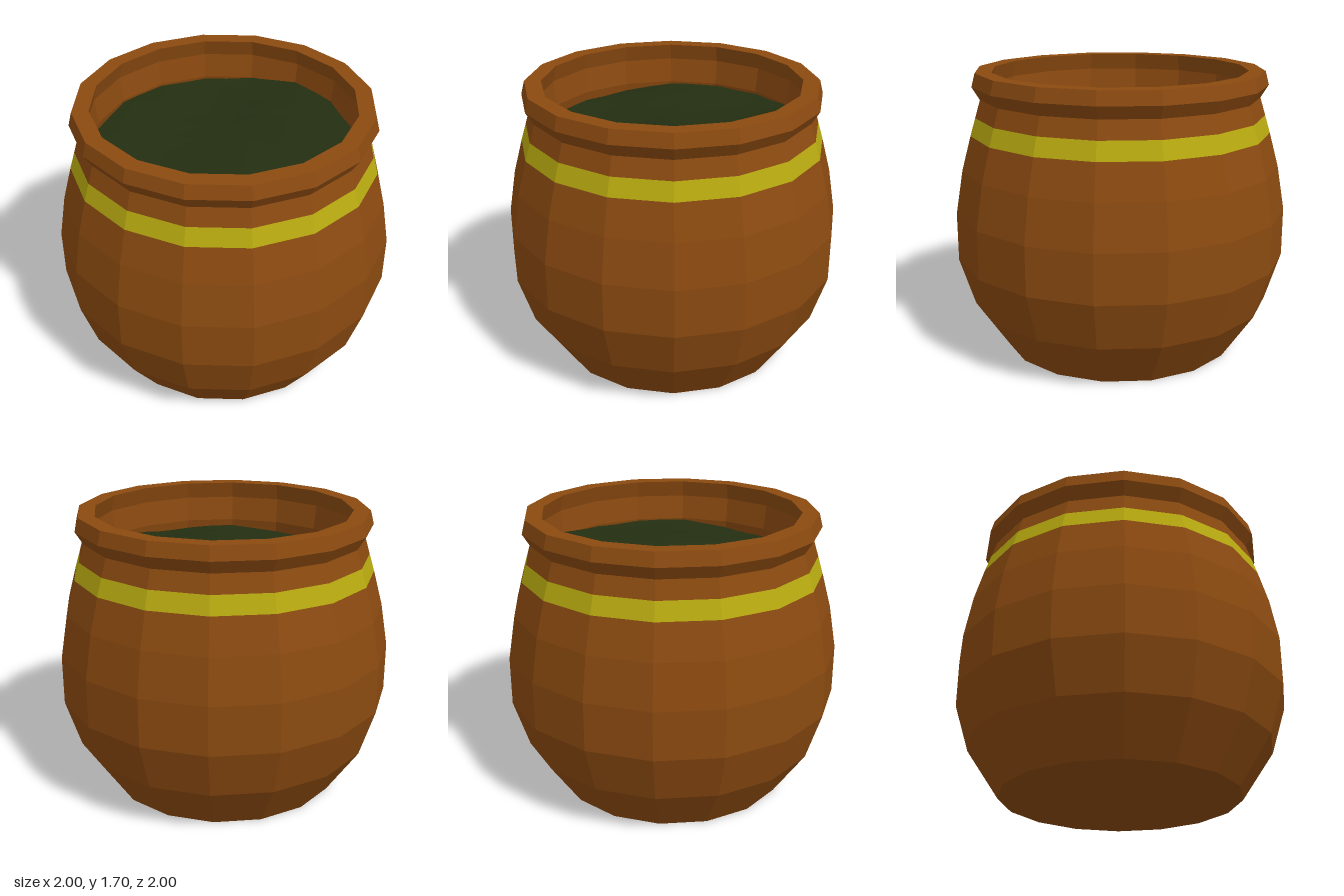
import * as THREE from 'three';

const SIDES = 16;
const TURN = -0.08; // small twist of the facets about the vertical axis

const paint = (color) => new THREE.MeshStandardMaterial({ color, flatShading: true });

// Faceted ring or shell turned from a [radius, height] profile
function turned(name, profile, material) {
  const points = profile.map(([r, y]) => new THREE.Vector2(r, y));
  const mesh = new THREE.Mesh(new THREE.LatheGeometry(points, SIDES, TURN), material);
  mesh.name = name;
  return mesh;
}

// Gently uneven surface filling the pot, clipped to a circle
function filling(radius, material) {
  const geometry = new THREE.PlaneGeometry(radius * 2.04, radius * 2.04, 10, 10);
  geometry.rotateX(-Math.PI / 2);
  geometry.rotateY(TURN);
  const pos = geometry.attributes.position;
  for (let i = 0; i < pos.count; i++) {
    let x = pos.getX(i), z = pos.getZ(i);
    const shrink = Math.min(1, radius / Math.hypot(x, z));
    x *= shrink;
    z *= shrink;
    const ripple = 0.012 * Math.sin(7 * x + 2 * z) + 0.012 * Math.cos(6 * z - 3 * x);
    pos.setXYZ(i, x, 1.425 + 0.035 * (x - z) + ripple, z);
  }
  geometry.computeVertexNormals();
  const mesh = new THREE.Mesh(geometry, material);
  mesh.name = 'filling';
  return mesh;
}

export function createModel() {
  const group = new THREE.Group();
  group.name = 'pot';
  const clay = paint(0x8b4a10);

  // Flat base and rounded belly
  group.add(turned('body', [
    [0, 0], [0.717, 0], [0.912, 0.29], [1.003, 0.58],
    [1.003, 0.87], [0.958, 1.13], [0.902, 1.335],
  ], clay));

  // Painted stripe below the neck
  group.add(turned('stripe', [[0.902, 1.335], [0.87, 1.44]], paint(0xb8aa10)));

  // Neck, flared lip and inner wall
  group.add(turned('rim', [
    [0.87, 1.44], [0.838, 1.545], [0.884, 1.62], [0.863, 1.7],
    [0.765, 1.7], [0.79, 1.6], [0.77, 1.45], [0.8, 1.3],
  ], clay));

  group.add(filling(0.8, paint(0x232e11)));
  return group;
}
